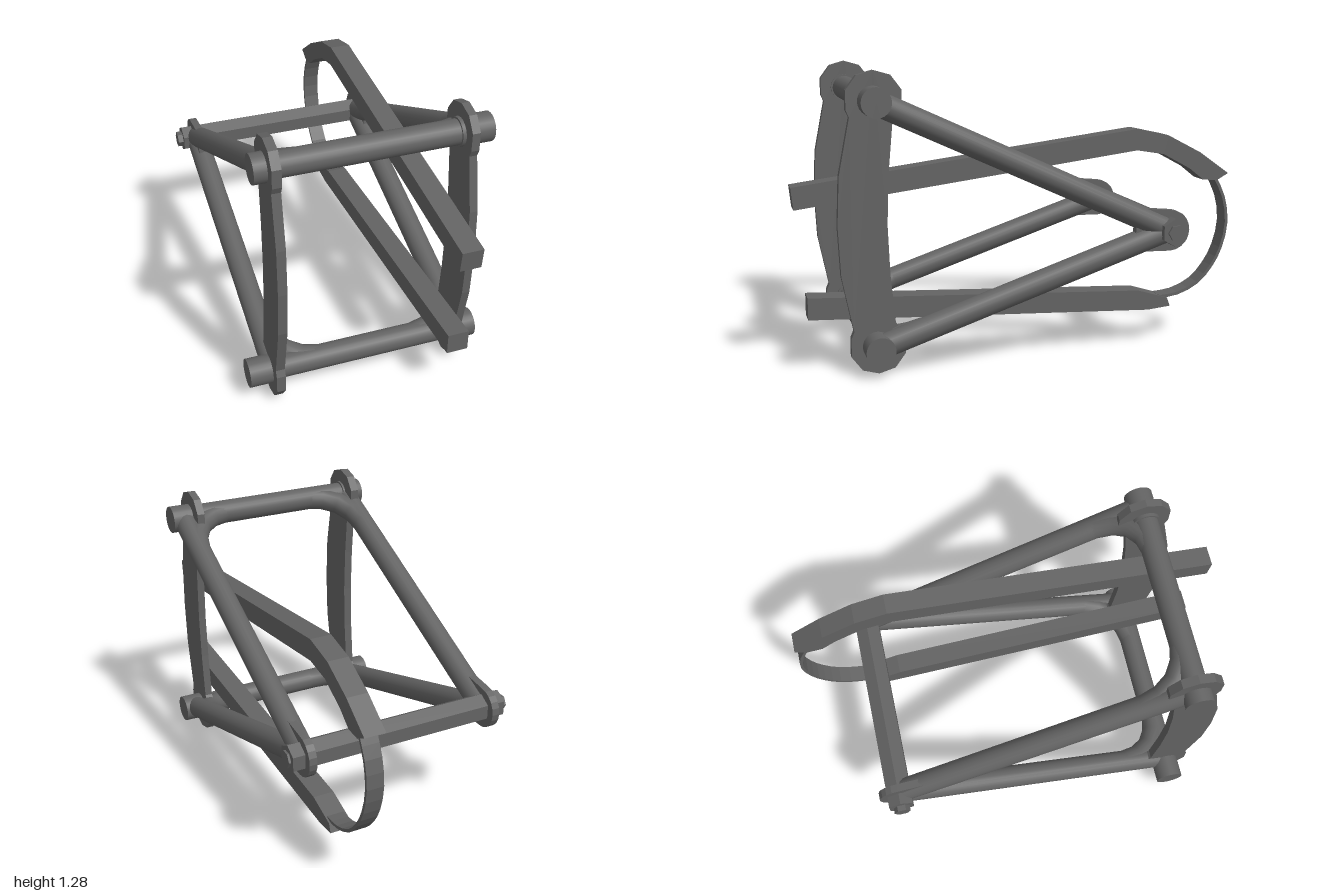
import * as THREE from 'three';

const material = new THREE.MeshStandardMaterial({ color: 0x636363, side: THREE.DoubleSide });
const V = (x, y, z) => new THREE.Vector3(x, y, z);

export function createModel() {
  const model = new THREE.Group();

  function add(name, geometry) {
    const mesh = new THREE.Mesh(geometry, material);
    mesh.name = name;
    model.add(mesh);
    return mesh;
  }

  // Cylinder lying along x between x0 and x1
  function barX(name, x0, x1, y, z, r, sides = 24, start = 0) {
    const g = new THREE.CylinderGeometry(r, r, x1 - x0, sides, 1, false, start);
    g.rotateZ(Math.PI / 2);
    const flat = sides < 8 ? g.toNonIndexed() : g;
    if (sides < 8) flat.computeVertexNormals();
    flat.translate((x0 + x1) / 2, y, z);
    add(name, flat);
  }

  // Round tube between two points
  function tube(name, a, b, r) {
    const d = b.clone().sub(a);
    const mesh = add(name, new THREE.CylinderGeometry(r, r, d.length(), 20));
    mesh.position.copy(a).addScaledVector(d, 0.5);
    mesh.quaternion.setFromUnitVectors(V(0, 1, 0), d.normalize());
  }

  // Flat profile given as [z, y] points, spanning x0 to x1
  function plate(name, points, x0, x1) {
    const shape = new THREE.Shape(points.map(p => new THREE.Vector2(...p)));
    const g = new THREE.ExtrudeGeometry(shape, { depth: x1 - x0, bevelEnabled: false });
    g.rotateY(-Math.PI / 2);
    g.translate(x1, 0, 0);
    add(name, g);
  }

  // Bowed front plates with a faceted head at each end
  const half = [[0.82, 0.64], [0.81, 0.85], [0.762, 1.09], [0.775, 1.12], [0.775, 1.2], [0.73, 1.26],
    [0.66, 1.28], [0.59, 1.26], [0.545, 1.2], [0.545, 1.11], [0.585, 1.065], [0.605, 0.85], [0.613, 0.64]];
  const lower = half.slice(1, -1).reverse().map(([z, y]) => [z, 1.28 - y]);
  plate('frontPlateRight', [...half, ...lower], -0.44, -0.40);
  plate('frontPlateLeft', [...half, ...lower], 0.385, 0.42);

  // Front cross bars with thicker ends
  const frontZ = 0.665, rearY = 0.552, rearZ = -0.65;
  const bars = [
    { name: 'upper', y: 1.155, r: 0.055, x0: -0.495, x1: 0.515 },
    { name: 'lower', y: 0.122, r: 0.053, x0: -0.54, x1: 0.515 },
  ];
  for (const { name, y, r, x0, x1 } of bars) {
    barX(name + 'CrossBar', -0.42, 0.42, y, frontZ, r);
    barX(name + 'BarEndRight', x0, -0.39, y, frontZ, 0.063);
    barX(name + 'BarEndLeft', 0.37, x1, y, frontZ, 0.063);

    // Side tubes converging on the rear shaft, and the bent corners
    for (const [side, x] of [['Right', -0.42], ['Left', 0.45]]) {
      const a = V(x, y, frontZ), b = V(x, rearY, rearZ);
      tube(name + 'Tube' + side, a, b, 0.052);
      const along = b.clone().sub(a).normalize();
      const inward = V(-Math.sign(x), 0, 0);
      const bend = new THREE.QuadraticBezierCurve3(
        a.clone().addScaledVector(along, 0.23),
        a.clone().addScaledVector(along, 0.02).addScaledVector(inward, 0.02),
        a.clone().addScaledVector(inward, 0.22));
      add(name + 'Corner' + side, new THREE.TubeGeometry(bend, 4, 0.052, 16));
    }
  }

  // Hexagonal rear shaft with a smaller bolt through it
  barX('rearShaft', -0.495, 0.525, rearY, rearZ, 0.063, 6, Math.PI / 2);
  barX('rearBolt', -0.52, 0.535, rearY, rearZ, 0.037, 6);

  // Rounded lugs joining the side tubes
  const lug = [[-0.48, 0.465], [-0.49, 0.66]];
  for (let i = 0; i <= 10; i++) {
    const t = Math.PI * (0.5 + i / 10);
    lug.push([rearZ + 0.092 * Math.cos(t), rearY + 0.092 * Math.sin(t)]);
  }
  plate('rearLugRight', lug, -0.445, -0.41);
  plate('rearLugLeft', lug, 0.435, 0.47);

  // Upper and lower rails, offset to one side
  plate('upperRail', [[1, 0.805], [-0.53, 0.998], [-0.68, 0.965], [-0.84, 0.882], [-0.985, 0.78], [-0.93, 0.75],
    [-0.86, 0.755], [-0.79, 0.81], [-0.66, 0.88], [-0.53, 0.902], [0.99, 0.71]], 0.265, 0.36);
  plate('lowerRail', [[0.945, 0.335], [-0.55, 0.255], [-0.695, 0.21], [-0.71, 0.17], [-0.6, 0.16],
    [0.945, 0.24]], 0.265, 0.36);

  // Thin curved band joining the rails at the back
  const path = new THREE.CatmullRomCurve3([[-0.92, 0.77], [-0.97, 0.67], [-0.99, 0.55], [-0.965, 0.43],
    [-0.92, 0.345], [-0.85, 0.27], [-0.75, 0.225], [-0.66, 0.215]].map(([z, y]) => V(0, y, z)));
  const outer = [], inner = [];
  for (let i = 0; i <= 14; i++) {
    const p = path.getPoint(i / 14), t = path.getTangent(i / 14);
    outer.push([p.z + t.y * 0.007, p.y - t.z * 0.007]);
    inner.unshift([p.z - t.y * 0.007, p.y + t.z * 0.007]);
  }
  plate('rearBand', [...outer, ...inner], 0.275, 0.352);

  return model;
}
